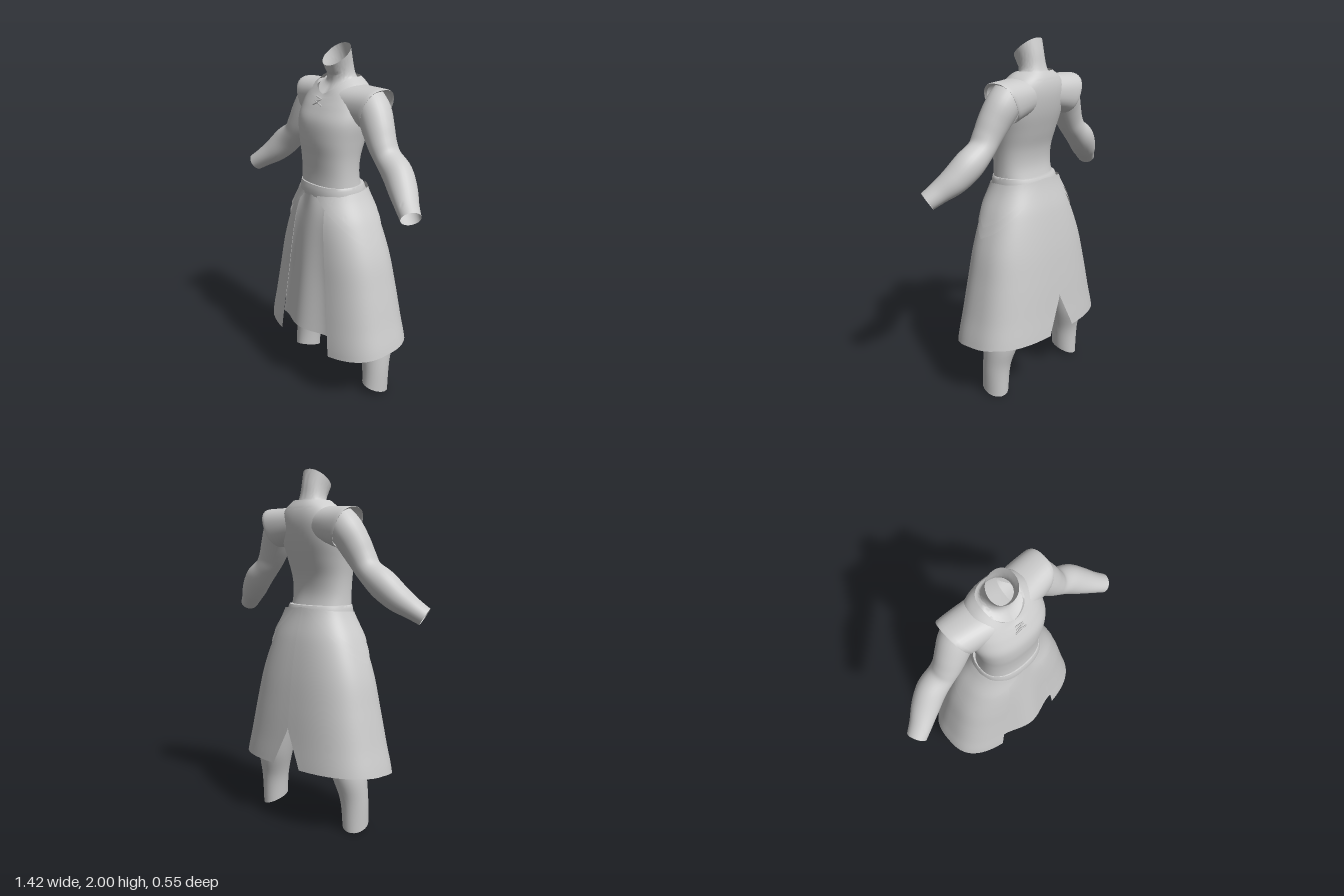
import * as THREE from 'three';
import { toCreasedNormals } from 'three/addons/utils/BufferGeometryUtils.js';

const material = new THREE.MeshStandardMaterial({ color: 0xcccccc, side: THREE.DoubleSide });
const TAU = Math.PI * 2;
const { clamp, lerp } = THREE.MathUtils;

function addMesh(parent, name, geometry) {
  const mesh = new THREE.Mesh(geometry, material);
  mesh.name = name;
  parent.add(mesh);
  return mesh;
}

// Smooth surface through point(u, v), with u and v from 0 to 1
function sheet(nu, nv, point) {
  const positions = [], index = [];
  for (let j = 0; j <= nv; j++)
    for (let i = 0; i <= nu; i++) positions.push(...point(i / nu, j / nv));
  for (let j = 0; j < nv; j++)
    for (let i = 0; i < nu; i++) {
      const a = j * (nu + 1) + i, b = a + nu + 1;
      index.push(a, a + 1, b + 1, a, b + 1, b);
    }
  const geometry = new THREE.BufferGeometry();
  geometry.setAttribute('position', new THREE.Float32BufferAttribute(positions, 3));
  geometry.setIndex(index);
  return toCreasedNormals(geometry, 0.9);
}

// Catmull-Rom interpolation of whole rows of numbers (all rows equally long)
function spline(rows, t) {
  const s = clamp(t, 0, 1) * (rows.length - 1);
  const i = Math.min(Math.floor(s), rows.length - 2), f = s - i;
  const p = rows[Math.max(i - 1, 0)], q = rows[i], r = rows[i + 1];
  const w = rows[Math.min(i + 2, rows.length - 1)];
  return q.map((_, k) => q[k] + 0.5 * f * (r[k] - p[k] +
    f * (2 * p[k] - 5 * q[k] + 4 * r[k] - w[k] + f * (3 * (q[k] - r[k]) + w[k] - p[k]))));
}

const power = (value, n) => Math.sign(value) * Math.abs(value) ** (2 / n);

// Horizontal body ring; angle 0 is the front, dip makes a V, tilt slopes the ring
function bodyRing([y, halfWidth, front, back, dip, tilt], a, n) {
  const mid = (front + back) / 2, v = (a > Math.PI ? TAU - a : a) / (Math.PI / 2);
  return [halfWidth * power(Math.sin(a), n),
    y - dip * Math.max(0, 1 - v) - tilt * Math.cos(a),
    mid + (front - mid) * power(Math.cos(a), n)];
}
function bodyLoft(rows, nv, n = 2.4) {
  const full = rows.map(([y, w, front, back, dip = 0, tilt = 0]) => [y, w, front, back, dip, tilt]);
  return sheet(56, nv, (u, v) => bodyRing(spline(full, v), u * TAU, n));
}

// Skirt surface: half width, front z, back z, squareness, evenly spaced from y 1.25 to 0.3
const skirtRows = [
  [0.185, 0.165, -0.135, 2.2], [0.28, 0.2, -0.185, 2.4], [0.355, 0.215, -0.22, 2.5],
  [0.4, 0.225, -0.243, 2.6], [0.44, 0.238, -0.26, 2.7], [0.48, 0.25, -0.275, 2.8]];
const skirtAt = (y) => spline(skirtRows, (1.25 - y) / 0.95);
function skirtPoint(a, y, offset = 0) {
  const [w, front, back, n] = skirtAt(y);
  const z = power(Math.cos(a), n);
  return [(w + offset) * power(Math.sin(a), n), y,
    -0.01 + z * ((z > 0 ? front + 0.01 : -0.01 - back) + offset)];
}
// Angle at which the skirt reaches a given x
function skirtAngle(x, y) {
  const [w, , , n] = skirtAt(y);
  return Math.asin(clamp(x / w, 0, 1) ** (n / 2));
}
const frontEdge = (y) => lerp(0.22, 0.105, (y - 0.29) / 0.91);

// Half of the coat skirt, from the front opening round to the back slit
function coatHalf() {
  return sheet(32, 36, (u, v) => {
    const top = 1.2 + 0.04 * u, bottom = 0.285 + 0.06 * Math.min(1, u * 1.6);
    const y = lerp(bottom, top, v);
    const slit = 0.1 * clamp((0.56 - y) / 0.21, 0, 1);
    const a = lerp(skirtAngle(frontEdge(y), y), Math.PI - skirtAngle(slit, y), u);
    return skirtPoint(a, y);
  });
}

// Pointed hip flap lying on the skirt, deepest at the side
function hipFlap(start, depth, offset) {
  const side = 1.42, end = Math.PI - start;
  return sheet(40, 8, (u, v) => {
    const a = u < 0.5 ? lerp(start, side, u * 2) : lerp(side, end, u * 2 - 1);
    const f = (1 - Math.abs(u * 2 - 1)) ** 0.85;
    const top = 1.2 + 0.035 * u;
    return skirtPoint(a, lerp(top - 0.005 - (depth + 0.035 * u) * f, top, v), offset);
  });
}

// Bulging centre panel, its edges tucked behind the coat
function frontPanel() {
  return sheet(20, 20, (u, v) => {
    const y = lerp(0.4, 1.21, v), w = frontEdge(y) + 0.015, k = u * 2 - 1;
    const edge = skirtPoint(skirtAngle(w, y), y)[2] - 0.012;
    const centre = lerp(0.275, 0.168, v);
    return [k * w, y, lerp(edge, centre, 0.5 + 0.5 * Math.cos(k * Math.PI))];
  });
}

// Arm: x, y, z, radius across, radius in depth
function arm() {
  const rows = [
    [0.2, 1.73, -0.06, 0.085, 0.085], [0.255, 1.665, -0.055, 0.094, 0.092],
    [0.305, 1.585, -0.04, 0.09, 0.085], [0.35, 1.51, -0.03, 0.078, 0.078],
    [0.395, 1.45, -0.028, 0.07, 0.076], [0.475, 1.385, -0.02, 0.082, 0.08],
    [0.55, 1.315, 0.01, 0.074, 0.076], [0.62, 1.26, 0.05, 0.058, 0.064],
    [0.678, 1.218, 0.08, 0.05, 0.056]];
  const at = (v) => new THREE.Vector3(...spline(rows, v).slice(0, 3));
  return sheet(28, 40, (u, v) => {
    const [, , , across, deep] = spline(rows, v);
    const along = at(Math.min(v + 0.03, 1)).sub(at(Math.max(v - 0.03, 0))).normalize();
    const up = new THREE.Vector3(0, 0, 1).cross(along).normalize();
    const depth = along.clone().cross(up);
    return at(v).addScaledVector(up, across * Math.cos(u * TAU))
      .addScaledVector(depth, deep * Math.sin(u * TAU)).toArray();
  });
}

// Cap sleeve: centre x, y, z, lean, half height, half depth; the last row turns the rim inward
function sleeve() {
  const rows = [
    [0.09, 1.7, -0.035, 0, 0.1, 0.125], [0.18, 1.69, -0.05, 0.02, 0.104, 0.119],
    [0.265, 1.68, -0.06, 0.045, 0.11, 0.112], [0.258, 1.68, -0.06, 0.04, 0.098, 0.1]];
  return sheet(36, 12, (u, v) => {
    const [x, y, z, lean, high, deep] = spline(rows, v);
    const c = power(Math.cos(u * TAU), 2.4), s = power(Math.sin(u * TAU), 2.4);
    return [x + lean * c, y + high * c, z + deep * s];
  });
}

// Leg: y, x, z, half width, half depth; the lower rim is cut unevenly
function leg() {
  const rows = [
    [0.03, 0.322, -0.04, 0.068, 0.08], [0.18, 0.316, -0.048, 0.079, 0.082],
    [0.34, 0.288, -0.066, 0.1, 0.102], [0.52, 0.24, -0.055, 0.105, 0.106],
    [0.74, 0.19, -0.035, 0.118, 0.115], [0.98, 0.13, -0.015, 0.13, 0.125]];
  return sheet(28, 30, (u, v) => {
    const [y, x, z, wide, deep] = spline(rows, v);
    const c = Math.cos(u * TAU), s = Math.sin(u * TAU), cut = Math.max(0, 1 - v * 8);
    return [x + wide * s, y + cut * (0.025 * c - 0.015 * s), z + deep * c];
  });
}

export function createModel() {
  const model = new THREE.Group();
  model.name = 'robedBody';

  // Tunic body, ending in a V neckline
  addMesh(model, 'tunic', bodyLoft([
    [1.19, 0.19, 0.162, -0.12], [1.3, 0.184, 0.155, -0.09], [1.4, 0.188, 0.16, -0.095],
    [1.5, 0.203, 0.17, -0.125], [1.6, 0.22, 0.165, -0.155], [1.68, 0.215, 0.135, -0.17, 0.01],
    [1.74, 0.2, 0.108, -0.172, 0.025], [1.79, 0.165, 0.095, -0.162, 0.06],
    [1.83, 0.11, 0.085, -0.142, 0.088]], 40));
  addMesh(model, 'belt', bodyLoft([
    [1.185, 0.2, 0.17, -0.138], [1.215, 0.198, 0.17, -0.136], [1.25, 0.19, 0.164, -0.125],
    [1.25, 0.18, 0.15, -0.09]], 6));

  // Neck, open at its sloping top
  addMesh(model, 'neck', bodyLoft([
    [1.815, 0.108, 0.08, -0.138, 0.085], [1.825, 0.085, 0.035, -0.125, 0.04],
    [1.85, 0.075, 0.03, -0.112, 0, 0.015], [1.89, 0.074, 0.042, -0.1, 0, 0.035],
    [1.945, 0.083, 0.058, -0.08, 0, 0.055]], 16, 2.1));

  addMesh(model, 'frontPanel', frontPanel());

  // Small crossed lacing under the neckline
  const lacing = new THREE.Group();
  lacing.name = 'lacing';
  model.add(lacing);
  for (const [x, y, turn] of [[0, 1.725, 1.3], [0, 1.71, 1.8], [0.012, 1.697, 1.2], [-0.012, 1.695, 2]]) {
    const cord = addMesh(lacing, 'cord', new THREE.CapsuleGeometry(0.004, 0.045, 3, 6));
    cord.position.set(x, y, 0.112 + (1.725 - y) * 0.5);
    cord.rotation.z = turn;
  }

  // Mirrored parts
  const halves = {
    coatSkirt: coatHalf(), hipFlap: hipFlap(0.22, 0.265, 0.008),
    hipFlapInset: hipFlap(0.45, 0.205, 0.014), arm: arm(), sleeve: sleeve(), leg: leg()
  };
  for (const [side, sign] of [['left', 1], ['right', -1]]) {
    const half = new THREE.Group();
    half.name = side + 'Side';
    half.scale.x = sign;
    for (const [name, geometry] of Object.entries(halves)) addMesh(half, name, geometry);
    model.add(half);
  }
  return model;
}
